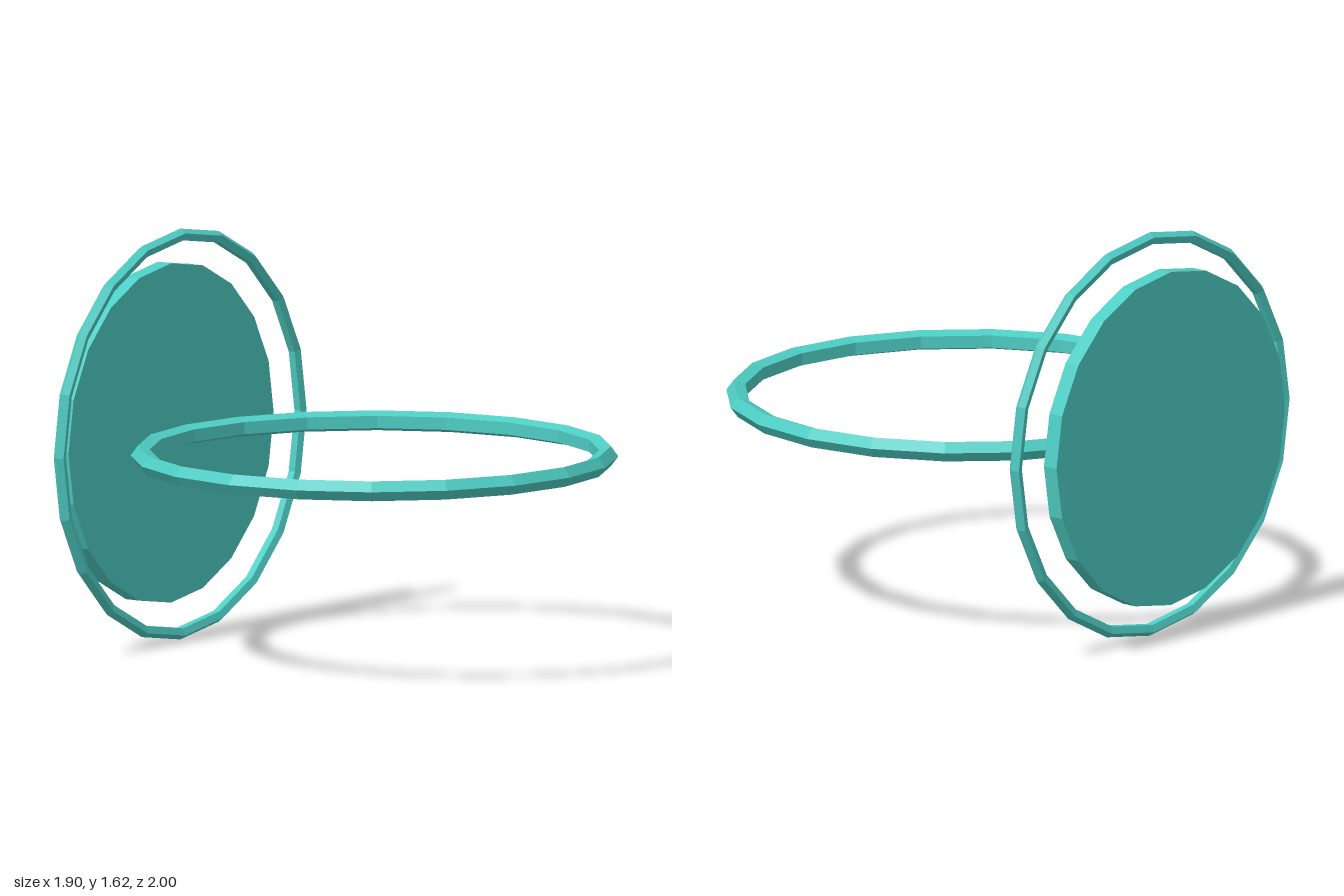
import * as THREE from 'three';

const SIDES = 20;
const CENTRE_Y = 0.813;

export function createModel() {
  const model = new THREE.Group();
  const material = new THREE.MeshStandardMaterial({ color: 0x4ecdc4, flatShading: true });

  const add = (name, geometry, z) => {
    const mesh = new THREE.Mesh(geometry, material);
    mesh.name = name;
    mesh.position.set(0, CENTRE_Y, z);
    mesh.rotation.x = Math.PI / 2;
    model.add(mesh);
    return mesh;
  };

  // Large ring lying flat
  add('horizontalRing', new THREE.TorusGeometry(0.907, 0.041, 5, SIDES), 0.052);

  // Thin upright ring at the back
  add('uprightRing', new THREE.TorusGeometry(0.783, 0.025, 5, SIDES), -0.89).rotation.x = 0;

  // Solid disc just behind the upright ring
  add('backDisc', new THREE.CylinderGeometry(0.667, 0.667, 0.066, SIDES), -0.967);

  return model;
}
